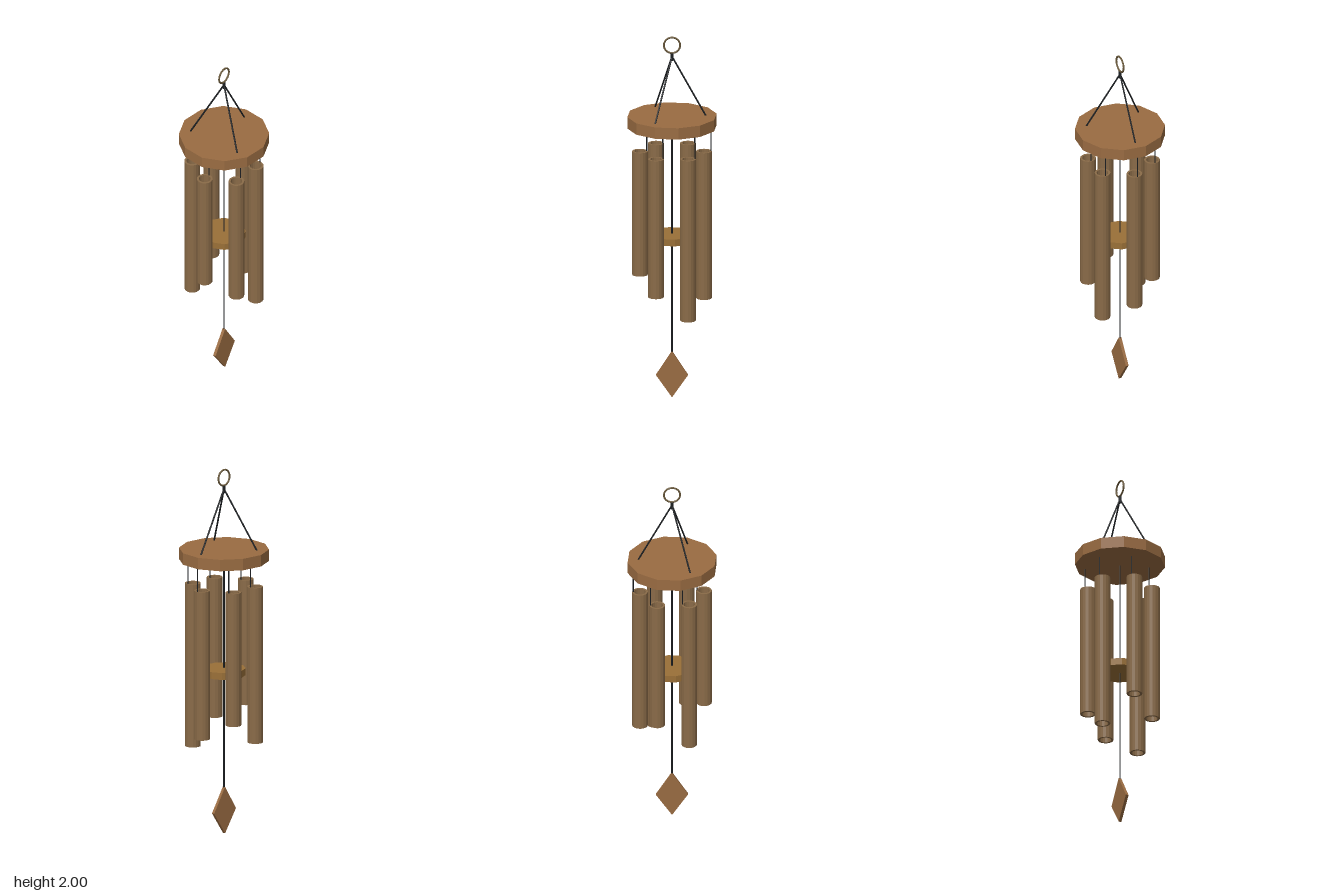
import * as THREE from 'three';

const mat = (color, extra = {}) => Object.assign(
  new THREE.MeshStandardMaterial({ color: color }), extra);

export function createModel() {
  const group = new THREE.Group();
  group.name = 'windChime';
  const wood = mat(0x9a6c42, { flatShading: true });
  const striker = mat(0x9a7038, { flatShading: true });
  const bamboo = mat(0x8a6b48, { flatShading: true });
  const ringMat = mat(0x6b5a3c);
  const cordMat = mat(0x1c1f22);

  const add = (name, geometry, material, x = 0, y = 0, z = 0) => {
    const mesh = new THREE.Mesh(geometry, material);
    mesh.name = name;
    mesh.position.set(x, y, z);
    group.add(mesh);
    return mesh;
  };

  // Straight cord between two points
  const cord = (name, a, b, radius) => {
    const dir = b.clone().sub(a);
    const mid = a.clone().add(b).multiplyScalar(0.5);
    const mesh = add(name, new THREE.CylinderGeometry(radius, radius, dir.length(), 8),
      cordMat, mid.x, mid.y, mid.z);
    mesh.quaternion.setFromUnitVectors(new THREE.Vector3(0, 1, 0), dir.normalize());
  };

  // Twelve-sided wooden disc
  const disc = (name, radius, bottom, top, material) => add(name,
    new THREE.CylinderGeometry(radius, radius, top - bottom, 12, 1, false, THREE.MathUtils.degToRad(8)),
    material, 0, (top + bottom) / 2);

  // Hanging ring and the knot under it
  add('hangingRing', new THREE.TorusGeometry(0.043, 0.005, 8, 32), ringMat, 0, 1.952);
  add('knot', new THREE.CylinderGeometry(0.008, 0.008, 0.04, 10), cordMat, 0, 1.888);

  // Top plate with three suspension cords
  disc('topPlate', 0.24, 1.5, 1.563, wood);
  for (let i = 0; i < 3; i++) {
    const a = (i * Math.PI * 2) / 3;
    cord('suspensionCord', new THREE.Vector3(0, 1.89, 0),
      new THREE.Vector3(0.183 * Math.cos(a), 1.555, 0.183 * Math.sin(a)), 0.0045);
  }

  // Six hollow tubes of different lengths, each on its own string
  const tubeTop = 1.365, outer = 0.042, inner = 0.031;
  [0.55, 0.47, 0.6, 0.68, 0.51, 0.635].forEach((bottom, i) => {
    const a = (i * Math.PI) / 3;
    const x = 0.17 * Math.cos(a), z = 0.17 * Math.sin(a);
    const profile = [[outer, bottom], [outer, tubeTop], [inner, tubeTop], [inner, bottom], [outer, bottom]]
      .map(([r, y]) => new THREE.Vector2(r, y));
    add('chimeTube', new THREE.LatheGeometry(profile, 16), bamboo, x, 0, z);
    cord('tubeString', new THREE.Vector3(x + 0.036, 1.51, z),
      new THREE.Vector3(x + 0.036, 1.34, z), 0.0028);
  });

  // Centre cord, striker and diamond wind catcher
  cord('centreCord', new THREE.Vector3(0, 1.51, 0), new THREE.Vector3(0, 0.24, 0), 0.004);
  disc('striker', 0.115, 0.87, 0.908, striker);
  const diamond = new THREE.Shape([[0, 0], [0.085, 0.123], [0, 0.255], [-0.085, 0.123]]
    .map(([x, y]) => new THREE.Vector2(x, y)));
  add('windCatcher', new THREE.ExtrudeGeometry(diamond, { depth: 0.016, bevelEnabled: false }),
    wood, 0, 0, -0.008);

  return group;
}
